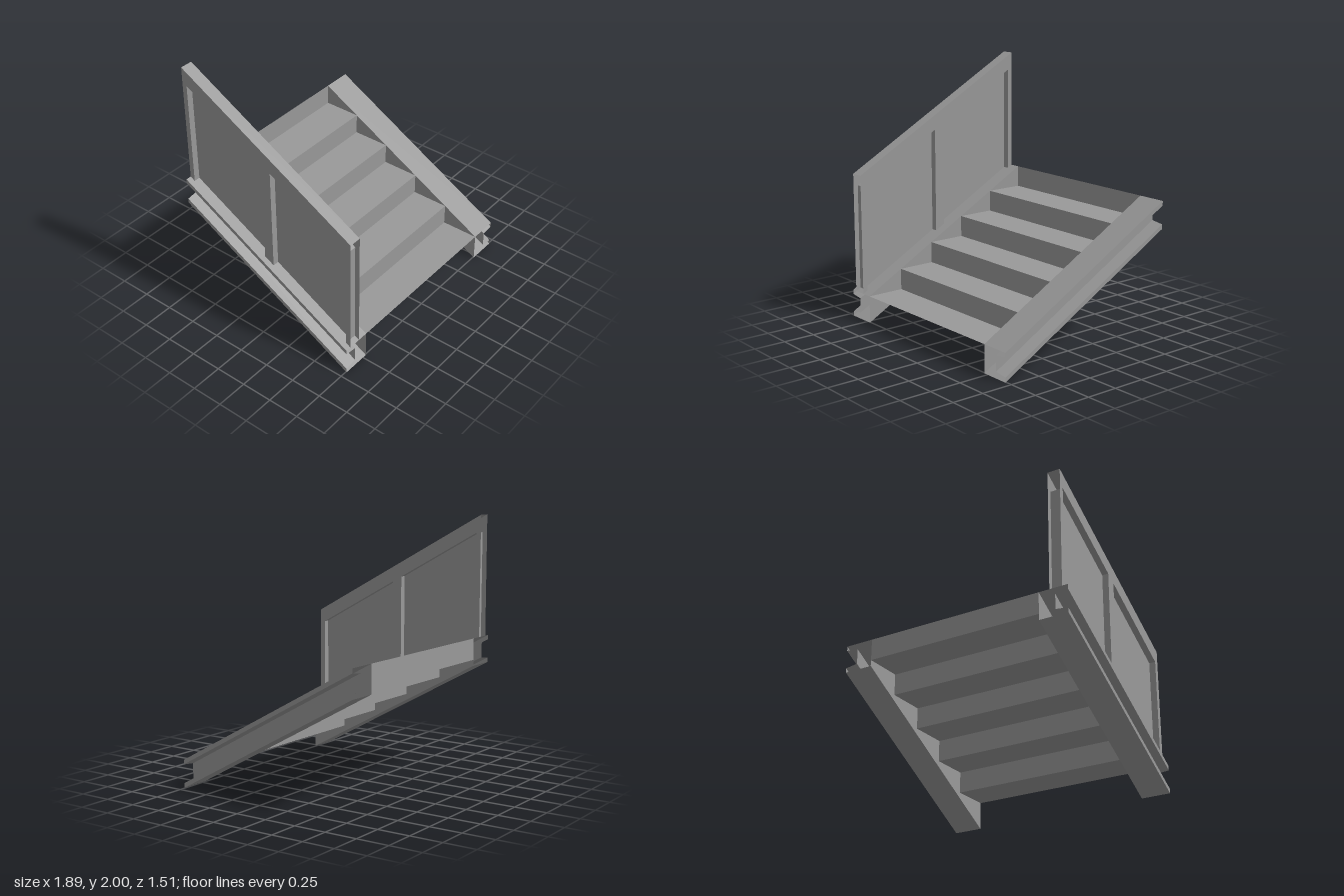
import * as THREE from 'three';

const FRONT = 0.757, RISE = 0.838, DEPTH = 2 * FRONT;
const STRINGER_HEIGHT = 0.215, RAIL_HEIGHT = 0.947, WINDOW_HEIGHT = 0.829;
const RAIL_OUT = -0.9, RAIL_IN = -0.8;

const material = new THREE.MeshStandardMaterial({
  color: 0x999999, flatShading: true, side: THREE.DoubleSide,
});

// climb of the stair at depth z, and height of the stringer's top edge there
const climb = (z) => (FRONT - z) * RISE / DEPTH;
const base = (z) => STRINGER_HEIGHT + climb(z);

function addMesh(parent, name, geometry) {
  const mesh = new THREE.Mesh(geometry, material);
  mesh.name = name;
  parent.add(mesh);
}

// sheet of quads joining two matching rows of points
function sheet(rowA, rowB) {
  const pos = [];
  for (let i = 0; i < rowA.length - 1; i++) {
    const [a, b, c, d] = [rowA[i], rowA[i + 1], rowB[i + 1], rowB[i]];
    pos.push(...a, ...b, ...c, ...a, ...c, ...d);
  }
  const g = new THREE.BufferGeometry();
  g.setAttribute('position', new THREE.Float32BufferAttribute(pos, 3));
  g.computeVertexNormals();
  return g;
}

// sheet following a [z, y] path, spanning x0 to x1
const acrossX = (path, x0, x1) => sheet(
  path.map(([z, y]) => [x0, y, z]),
  path.map(([z, y]) => [x1, y, z]),
);

// flat upright sheet from a [z, y] outline at the given x
function uprightSheet(outline, x) {
  const shape = new THREE.Shape(outline.map(([z, y]) => new THREE.Vector2(z, y)));
  return new THREE.ShapeGeometry(shape).rotateY(-Math.PI / 2).translate(x, 0, 0);
}

export function createModel() {
  const model = new THREE.Group();
  model.name = 'staircase';

  // sloping channel stringers, open at both ends, flanges facing outward
  const channel = [
    [0.715, 0], [0.945, 0], [0.945, 0.036], [0.845, 0.05],
    [0.845, 0.168], [0.945, 0.18], [0.945, STRINGER_HEIGHT], [0.715, STRINGER_HEIGHT], [0.715, 0],
  ];
  for (const [side, name] of [[1, 'leftStringer'], [-1, 'rightStringer']]) {
    const section = (z) => channel.map(([x, y]) => [side * x, y + climb(z), z]);
    addMesh(model, name, sheet(section(FRONT), section(-FRONT)));
  }

  // folded sheet of treads and risers
  const steps = 5;
  const fold = [[FRONT, base(FRONT)]];
  for (let i = 1; i <= steps; i++) {
    const z = FRONT - i * DEPTH / steps;
    fold.push([z, fold[fold.length - 1][1]], [z, base(z)]);
  }
  addMesh(model, 'steps', acrossX(fold, -0.715, 0.715));

  // balustrade: hollow framed wall standing on the right stringer
  const balustrade = new THREE.Group();
  balustrade.name = 'balustrade';
  model.add(balustrade);

  const windows = [[0.718, 0.04], [-0.04, -0.718]].map(([z0, z1]) => [
    [z0, base(z0)], [z0, base(z0) + WINDOW_HEIGHT],
    [z1, base(z1) + WINDOW_HEIGHT], [z1, base(z1)],
  ]);
  const topEdge = [-FRONT, FRONT].map((z) => [z, base(z) + RAIL_HEIGHT]);
  const frame = [
    ...topEdge, [FRONT, base(FRONT)], ...windows[0], ...windows[1], [-FRONT, base(-FRONT)],
  ];
  addMesh(balustrade, 'outerFrame', uprightSheet(frame, RAIL_OUT));
  addMesh(balustrade, 'innerFrame', uprightSheet(frame, RAIL_IN));
  addMesh(balustrade, 'handrail', acrossX(topEdge, RAIL_OUT, RAIL_IN));

  // recessed panels and the returns around them
  for (const outline of windows) {
    addMesh(balustrade, 'panelReturn', acrossX(outline, RAIL_OUT, RAIL_IN));
    addMesh(balustrade, 'panel', uprightSheet(outline, (RAIL_OUT + RAIL_IN) / 2));
  }

  return model;
}
